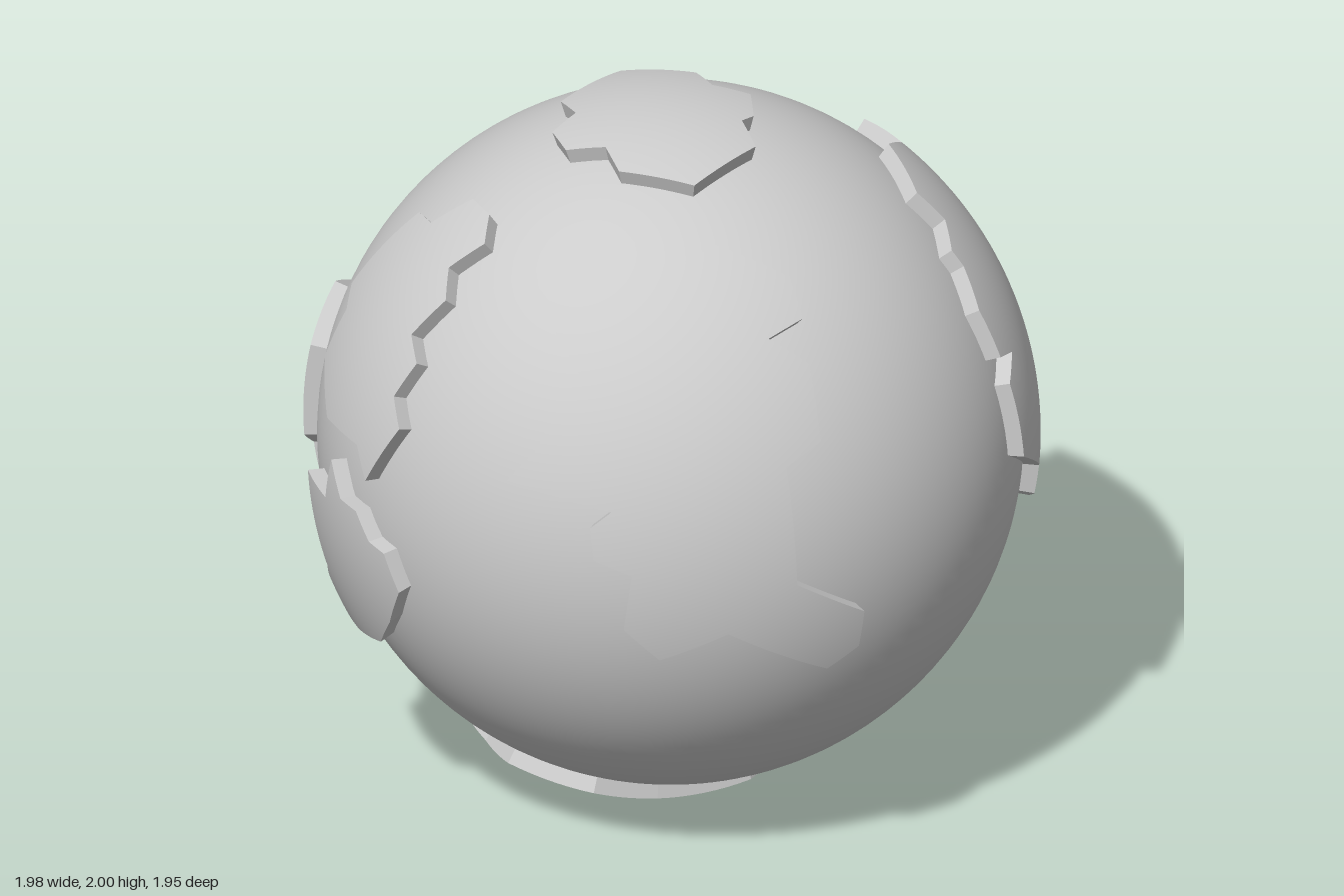
import * as THREE from 'three';

const OCEAN_R = 0.955, LAND_R = 1.0, LEVELS = 4;
const grey = new THREE.MeshStandardMaterial({ color: 0xcccccc });

// Lifts outline points from a flat chart (origin cx, cy; v grows downwards) onto the
// unit sphere. The chart faces azimuth az and elevation el, in degrees.
function chart(az, el, cx, cy, unit, points) {
  const a = THREE.MathUtils.degToRad(az), e = THREE.MathUtils.degToRad(el);
  const right = new THREE.Vector3(Math.cos(a), 0, -Math.sin(a));
  const out = new THREE.Vector3(Math.sin(a) * Math.cos(e), Math.sin(e), Math.cos(a) * Math.cos(e));
  const up = out.clone().cross(right);
  return points.map(([px, py]) => {
    const u = (px - cx) / unit, v = (cy - py) / unit;
    const w = Math.sqrt(Math.max(0, 1 - u * u - v * v));
    return new THREE.Vector3().addScaledVector(right, u).addScaledVector(up, v)
      .addScaledVector(out, w).normalize();
  });
}

// Raised plate: curved top at LAND_R and straight radial walls down into the ocean
function plateGeometry(dirs) {
  const n = dirs.reduce((s, d) => s.add(d), new THREE.Vector3()).normalize();
  const t = new THREE.Vector3(0.3, 0.5, 0.8).cross(n).normalize();
  const b = n.clone().cross(t);
  let flat = dirs.map((d) => new THREE.Vector2(d.dot(t), d.dot(b)).divideScalar(d.dot(n)));
  if (THREE.ShapeUtils.isClockWise(flat)) flat = flat.reverse();
  const lift = (p) => n.clone().addScaledVector(t, p.x).addScaledVector(b, p.y).normalize();

  const pos = [], nor = [];
  const vertex = (d, r, normal) => {
    pos.push(d.x * r, d.y * r, d.z * r);
    nor.push(normal.x, normal.y, normal.z);
  };

  // Top, split until it follows the sphere
  const split = (p, q, r, level) => {
    if (level === 0) {
      for (const c of [p, q, r]) { const d = lift(c); vertex(d, LAND_R, d); }
      return;
    }
    const [pq, qr, rp] = [[p, q], [q, r], [r, p]].map(([x, y]) => x.clone().lerp(y, 0.5));
    split(p, pq, rp, level - 1);
    split(pq, q, qr, level - 1);
    split(rp, qr, r, level - 1);
    split(pq, qr, rp, level - 1);
  };
  for (const [i, j, k] of THREE.ShapeUtils.triangulateShape(flat, [])) {
    split(flat[i], flat[j], flat[k], LEVELS);
  }

  // Walls
  const steps = 2 ** LEVELS, low = OCEAN_R - 0.015;
  flat.forEach((p, i) => {
    const q = flat[(i + 1) % flat.length];
    const normal = lift(q).cross(lift(p)).normalize();
    for (let s = 0; s < steps; s++) {
      const c = lift(p.clone().lerp(q, s / steps)), d = lift(p.clone().lerp(q, (s + 1) / steps));
      vertex(c, low, normal); vertex(d, low, normal); vertex(d, LAND_R, normal);
      vertex(c, low, normal); vertex(d, LAND_R, normal); vertex(c, LAND_R, normal);
    }
  });

  const g = new THREE.BufferGeometry();
  g.setAttribute('position', new THREE.Float32BufferAttribute(pos, 3));
  g.setAttribute('normal', new THREE.Float32BufferAttribute(nor, 3));
  return g;
}

const plates = {
  northCap: chart(0, 90, 1133, 228, 188, [
    [1110, 174], [1156, 174], [1174, 209], [1165, 228], [1174, 246], [1156, 264], [1147, 264],
    [1136, 283], [1090, 282], [1073, 246], [1083, 228], [1073, 210], [1083, 192], [1101, 192]]),

  frontLeftContinent: chart(35, 25, 232, 673, 188, [
    [238, 599], [273, 583], [306, 599], [334, 591], [364, 611], [351, 619], [351, 639], [325, 656],
    [336, 667], [334, 686], [318, 697], [306, 743], [311, 757], [268, 789], [251, 782], [250, 768],
    [198, 739], [199, 699], [216, 690], [200, 684], [203, 657], [217, 637], [218, 627], [238, 618]]),

  frontRightContinent: chart(0, 0, 237, 224.5, 188, [
    [105, 94], [142, 68], [154, 74], [177, 67], [197, 82], [190, 98], [169, 103], [181, 116],
    [171, 151], [151, 160], [147, 222], [183, 246], [183, 267], [168, 277], [118, 246], [95, 261],
    [82, 243], [84, 212], [74, 205], [75, 188], [82, 179], [62, 171], [72, 153], [96, 117]]),

  rightContinent: chart(215, 25, 690, 673, 188, [
    [742, 574], [758, 570], [774, 578], [776, 598], [791, 608], [793, 633], [806, 640], [807, 662],
    [818, 672], [810, 711], [799, 700], [768, 709], [741, 691], [739, 663], [726, 655], [726, 602],
    [741, 597]]),

  lowerRightContinent: chart(215, 25, 690, 673, 188, [
    [726, 816], [757, 791], [748, 751], [777, 746], [781, 723], [793, 735], [806, 731], [815, 739],
    [824, 737], [829, 751], [816, 775], [797, 797], [767, 811]]),

  backContinent: chart(215, 25, 690, 673, 188, [
    [618, 708], [654, 695], [687, 717], [687, 765], [668, 776], [670, 809], [640, 820], [622, 820],
    [609, 797], [633, 781], [632, 772], [600, 752], [600, 738], [614, 727]]),

  backLeftContinent: chart(137, -30, 1133, 675, 188, [
    [1143, 507], [1179, 519], [1181, 530], [1219, 551], [1219, 585], [1202, 592], [1202, 602],
    [1166, 623], [1150, 611], [1149, 575], [1132, 583], [1117, 571], [1117, 557], [1099, 552],
    [1093, 528], [1107, 514]]),

  southCap: chart(0, -90, 0, 0, 1, [
    [0.38, -0.26], [0.40, -0.09], [0.49, 0.09], [0.43, 0.26], [0.38, 0.28], [0.47, 0.43],
    [0.38, 0.6], [-0.04, 0.65], [-0.22, 0.46], [-0.39, 0.41], [-0.46, 0.26], [-0.55, 0.1],
    [-0.45, -0.12], [-0.28, -0.2], [0, -0.29], [0.29, -0.2]]),

  island: chart(90, 0, 683, 224.5, 188, [
    [650, 188], [660, 169], [682, 169], [692, 188], [682, 206], [660, 206]]),
};

export function createModel() {
  const model = new THREE.Group();
  model.name = 'globe';
  const globe = new THREE.Group();
  globe.position.set(-0.008, 1, 0.015);
  model.add(globe);

  const ocean = new THREE.Mesh(new THREE.SphereGeometry(OCEAN_R, 96, 64), grey);
  ocean.name = 'ocean';
  globe.add(ocean);

  for (const [name, outline] of Object.entries(plates)) {
    const mesh = new THREE.Mesh(plateGeometry(outline), grey);
    mesh.name = name;
    globe.add(mesh);
  }
  return model;
}
